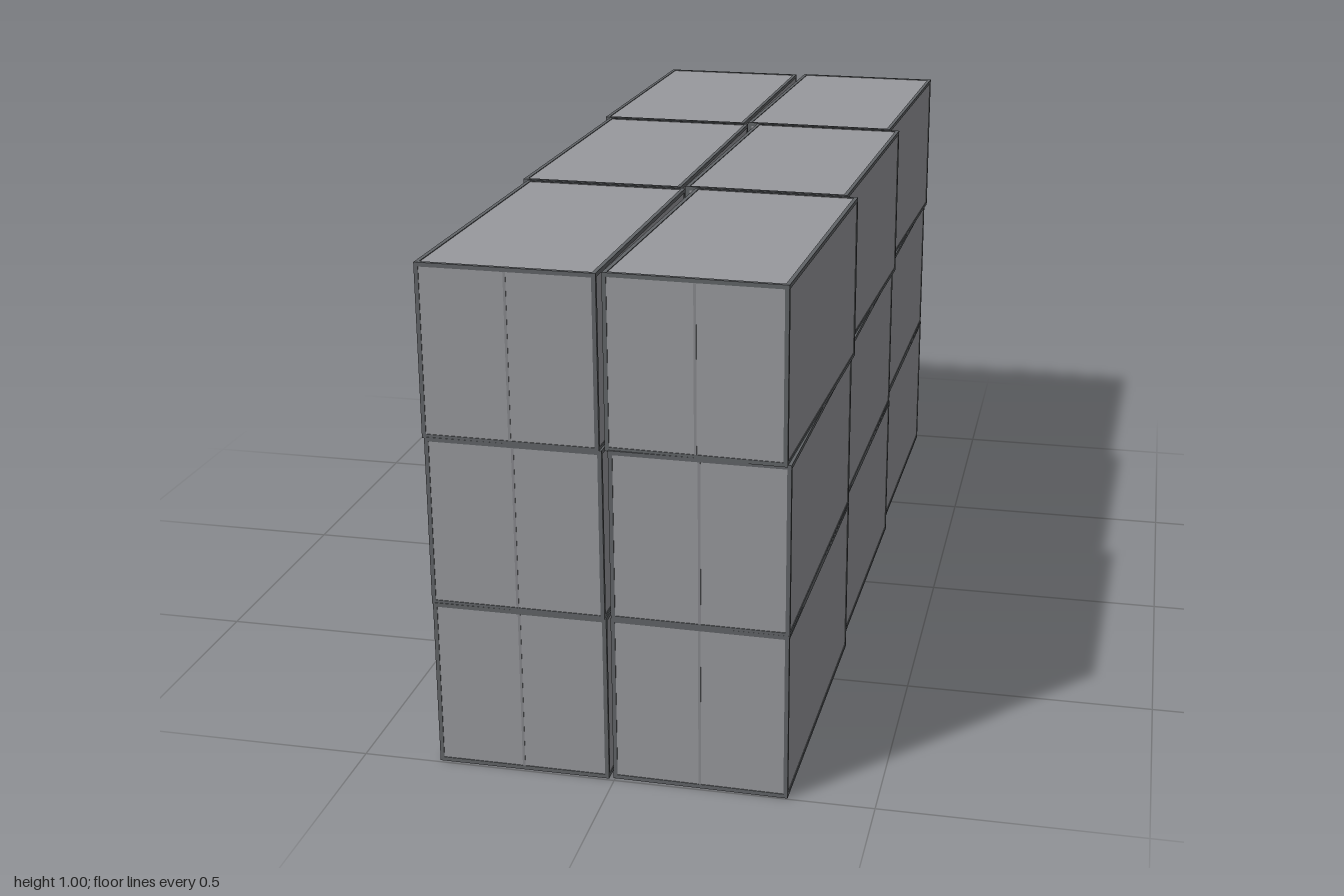
import * as THREE from 'three';
import { mergeGeometries } from 'three/addons/utils/BufferGeometryUtils.js';

const SIZE = [0.338, 0.335, 0.657]; // carton size over its edge strips
const E = 0.008;                    // edge strip thickness
const INSET = 0.0015;               // panels sit just inside the edge strips

const box = (size, pos = [0, 0, 0]) => new THREE.BoxGeometry(...size).translate(...pos);

// Twelve strips, four along each axis
function edgeGeometry() {
  const strips = [];
  for (let axis = 0; axis < 3; axis++) {
    const u = (axis + 1) % 3, v = (axis + 2) % 3;
    for (const su of [-1, 1]) for (const sv of [-1, 1]) {
      const size = [E, E, E], pos = [0, 0, 0];
      size[axis] = SIZE[axis];
      pos[u] = su * (SIZE[u] - E) / 2;
      pos[v] = sv * (SIZE[v] - E) / 2;
      strips.push(box(size, pos));
    }
  }
  return mergeGeometries(strips);
}

export function createModel() {
  const model = new THREE.Group();
  model.name = 'cartonStack';

  // Carton parts: grey panels, dark edges, thin closing seam on the front
  const paint = (color) => new THREE.MeshStandardMaterial({ color });
  const parts = [
    ['panels', box(SIZE.map((s) => s - 2 * INSET)), paint(0x98999d)],
    ['edges', edgeGeometry(), paint(0x616467)],
    ['frontSeam', box([0.005, SIZE[1] - 2 * E, 0.002], [0, 0, SIZE[2] / 2 - INSET]), paint(0x88898d)],
  ];

  // Each layer: [x centre, small turn] for the right and left column
  const layers = [
    { name: 'bottom', columns: [[-0.179, -0.003], [0.1715, -0.018]] },
    { name: 'middle', columns: [[-0.1785, -0.011], [0.1715, -0.016]] },
    { name: 'top', columns: [[-0.1805, -0.018], [0.1715, -0.036]] },
  ];
  const rows = [['Front', 0.666], ['Centre', 0.001], ['Back', -0.665]];

  layers.forEach(({ name, columns }, level) => {
    const layer = new THREE.Group();
    layer.name = `${name}Layer`;
    layer.position.y = SIZE[1] / 2 + level * (1 - SIZE[1]) / 2;
    columns.forEach(([x, turn], c) => {
      for (const [row, z] of rows) {
        const carton = new THREE.Group();
        carton.name = `${name}${row}${c ? 'Left' : 'Right'}Carton`;
        carton.position.set(x, 0, z);
        carton.rotation.y = turn;
        for (const [part, geometry, material] of parts) {
          const mesh = new THREE.Mesh(geometry, material);
          mesh.name = part;
          carton.add(mesh);
        }
        layer.add(carton);
      }
    });
    model.add(layer);
  });
  return model;
}
